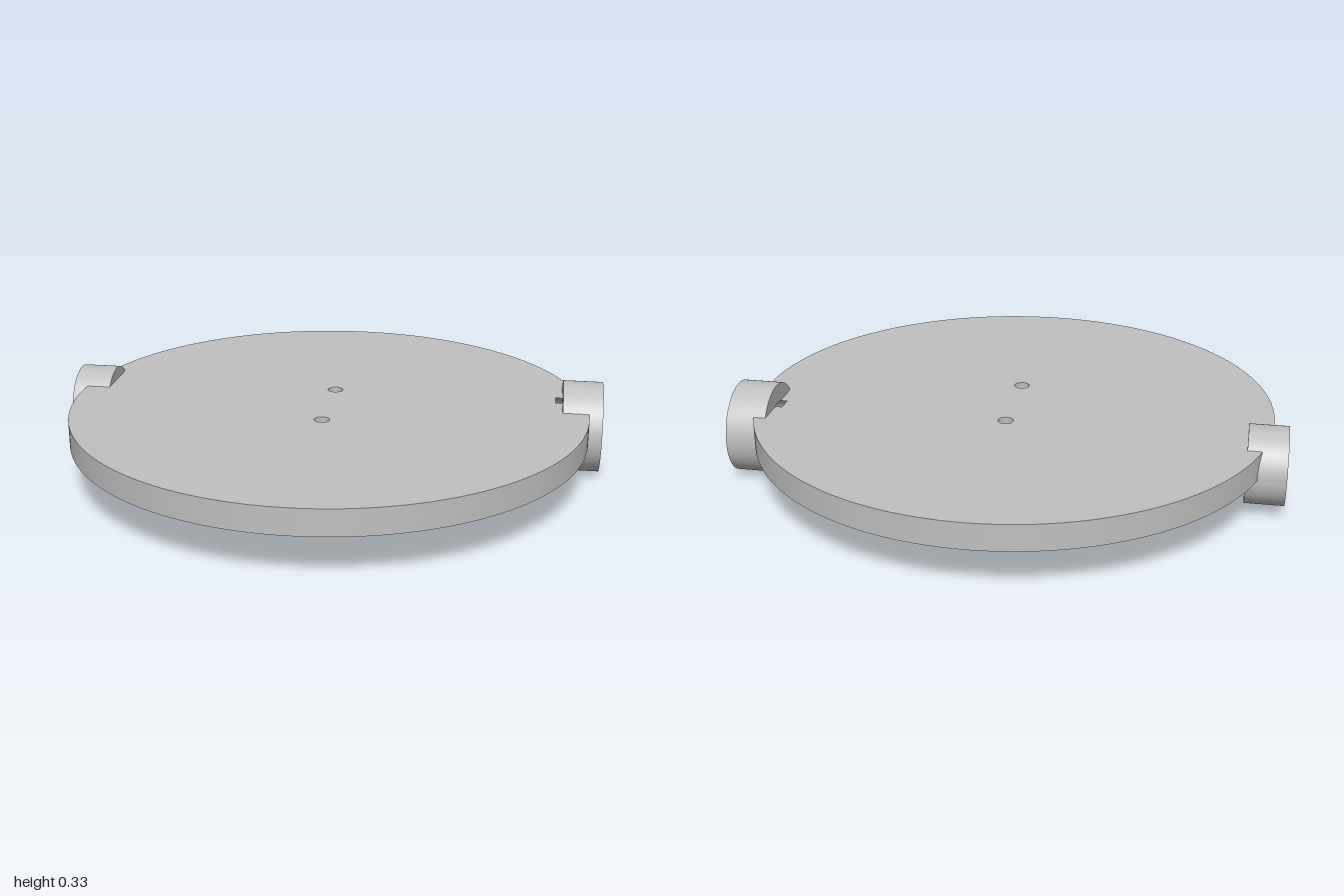
import * as THREE from 'three';
import { toCreasedNormals } from 'three/addons/utils/BufferGeometryUtils.js';

const R = 0.95;            // plate radius
const BOTTOM = 0.167;      // plate underside, also the height of the barrel axis
const THICK = 0.095;       // plate thickness
const POCKET = 0.033;      // depth of the pocket under the plate
const AXIS_Z = -0.167;     // barrel axis
const BORE_END = 0.83;     // how far the bores cut into the plate
const barrels = [
  { name: 'leftBarrel', side: 1, inner: 0.855, outerR: 0.167, bore: 0.099 },
  { name: 'rightBarrel', side: -1, inner: 0.86, outerR: 0.14, bore: 0.057 },
];

function circlePath(x, y, r) {
  return new THREE.Path().absarc(x, y, r, 0, Math.PI * 2, true);
}

function extrude(shapes, depth, curveSegments) {
  const geo = new THREE.ExtrudeGeometry(shapes, { depth, bevelEnabled: false, curveSegments });
  return toCreasedNormals(geo, 0.5);
}

// Round outline with a notch on each side where a bore enters the plate
function plateOutline() {
  const [l, r] = barrels.map((b) => ({ lo: AXIS_Z - b.bore, hi: AXIS_Z + b.bore }));
  const angle = (z) => Math.asin(z / R);
  const s = new THREE.Shape();
  s.absarc(0, 0, R, angle(l.hi), Math.PI - angle(r.hi), false);
  s.lineTo(-BORE_END, r.hi);
  s.lineTo(-BORE_END, r.lo);
  s.absarc(0, 0, R, Math.PI - angle(r.lo), Math.PI * 2 + angle(l.lo), false);
  s.lineTo(BORE_END, l.lo);
  s.lineTo(BORE_END, l.hi);
  s.closePath();
  return s;
}

// Solid left above a bore inside the plate, as two mirrored halves
function archShapes(r) {
  const end = Math.asin(Math.min(1, THICK / r));
  return [1, -1].map((m) => {
    const s = new THREE.Shape();
    s.moveTo(m * r, 0);
    s.absarc(0, 0, r, m > 0 ? 0 : Math.PI, m > 0 ? end : Math.PI - end, m < 0);
    s.lineTo(m * r * Math.cos(end), THICK);
    s.lineTo(m * r, THICK);
    s.closePath();
    return s;
  });
}

export function createModel() {
  const model = new THREE.Group();
  const grey = new THREE.MeshStandardMaterial({ color: 0xc0c0c0 });
  grey.name = 'plainGrey';

  const add = (name, geo) => {
    const mesh = new THREE.Mesh(geo, grey);
    mesh.name = name;
    model.add(mesh);
    return mesh;
  };

  // Upper plate layer with two screw holes
  const upper = plateOutline();
  for (const z of [-0.167, 0.167]) upper.holes.push(circlePath(0, z, 0.028));
  const upperGeo = extrude(upper, THICK - POCKET, 72).rotateX(Math.PI / 2);
  add('plateTop', upperGeo).position.y = BOTTOM + THICK;

  // Lower plate layer, open in the middle to form the pocket
  const lower = plateOutline();
  const px = 0.25, pz = 0.205;
  lower.holes.push(new THREE.Path([
    new THREE.Vector2(-px, -pz), new THREE.Vector2(-px, pz),
    new THREE.Vector2(px, pz), new THREE.Vector2(px, -pz),
  ]));
  const lowerGeo = extrude(lower, POCKET, 72).rotateX(Math.PI / 2);
  add('plateBottom', lowerGeo).position.y = BOTTOM + POCKET;

  // Hollow barrels on the rim, with the arched end of each bore in the plate
  for (const { name, side, inner, outerR, bore } of barrels) {
    const ring = new THREE.Shape().absarc(0, 0, outerR, 0, Math.PI * 2, false);
    ring.holes.push(circlePath(0, 0, bore));
    const barrelGeo = extrude(ring, 1 - inner, 48).rotateY(Math.PI / 2);
    add(name, barrelGeo).position.set(side > 0 ? inner : -1, BOTTOM, AXIS_Z);

    const length = 0.05;
    const archGeo = extrude(archShapes(bore), length, 24).rotateY(Math.PI / 2);
    const x = side > 0 ? BORE_END : -BORE_END - length;
    add(name + 'BoreArch', archGeo).position.set(x, BOTTOM, AXIS_Z);
  }
  return model;
}
